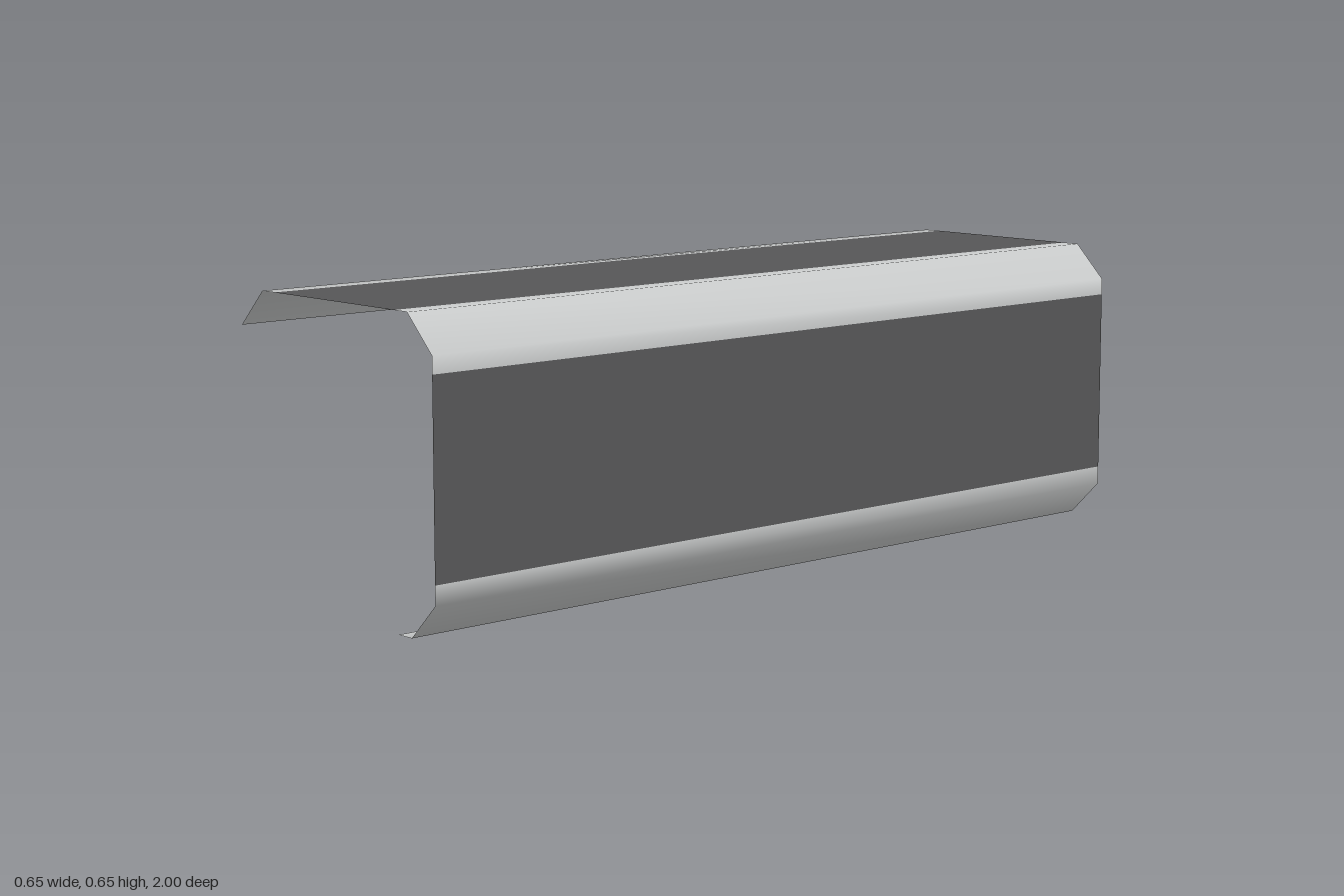
import * as THREE from 'three';

const HALF_LENGTH = 1;

// Sweeps an open x/y profile along z into a thin sheet with smooth bends.
function sheet(name, profile, material) {
  const positions = [];
  const index = [];
  profile.forEach(([x, y], i) => {
    positions.push(x, y, HALF_LENGTH, x, y, -HALF_LENGTH);
    if (i > 0) {
      const a = (i - 1) * 2, b = i * 2;
      index.push(a, b, b + 1, a, b + 1, a + 1);
    }
  });
  const geometry = new THREE.BufferGeometry();
  geometry.setAttribute('position', new THREE.Float32BufferAttribute(positions, 3));
  geometry.setIndex(index);
  geometry.computeVertexNormals();
  const mesh = new THREE.Mesh(geometry, material);
  mesh.name = name;
  return mesh;
}

export function createModel() {
  const group = new THREE.Group();
  group.name = 'bentSheetCover';

  const lightMetal = new THREE.MeshStandardMaterial({ color: 0xc6c8c8, side: THREE.DoubleSide });
  lightMetal.name = 'light metal';
  const darkPanel = new THREE.MeshStandardMaterial({ color: 0x565657, side: THREE.DoubleSide });
  darkPanel.name = 'dark panel';

  // Outer size, bend size and the extent of the flat dark panels
  const w = 0.325, top = 0.65, bend = 0.078, p = 0.204;
  const panelLow = 0.119, panelHigh = 0.535;

  group.add(
    // Short flange sloping down on the open side
    sheet('topFlange', [[-w, top - bend], [-w + bend, top], [-p, top]], lightMetal),
    sheet('topPanel', [[-p, top], [p, top]], darkPanel),
    // Rounded shoulder between the top and the side
    sheet('shoulder', [[p, top], [w - bend, top], [w, top - bend], [w, panelHigh]], lightMetal),
    sheet('sidePanel', [[w, panelHigh], [w, panelLow]], darkPanel),
    // Lower edge curling inward
    sheet('bottomLip', [[w, panelLow], [w, bend], [w - bend, 0], [p, 0]], lightMetal),
  );
  return group;
}
